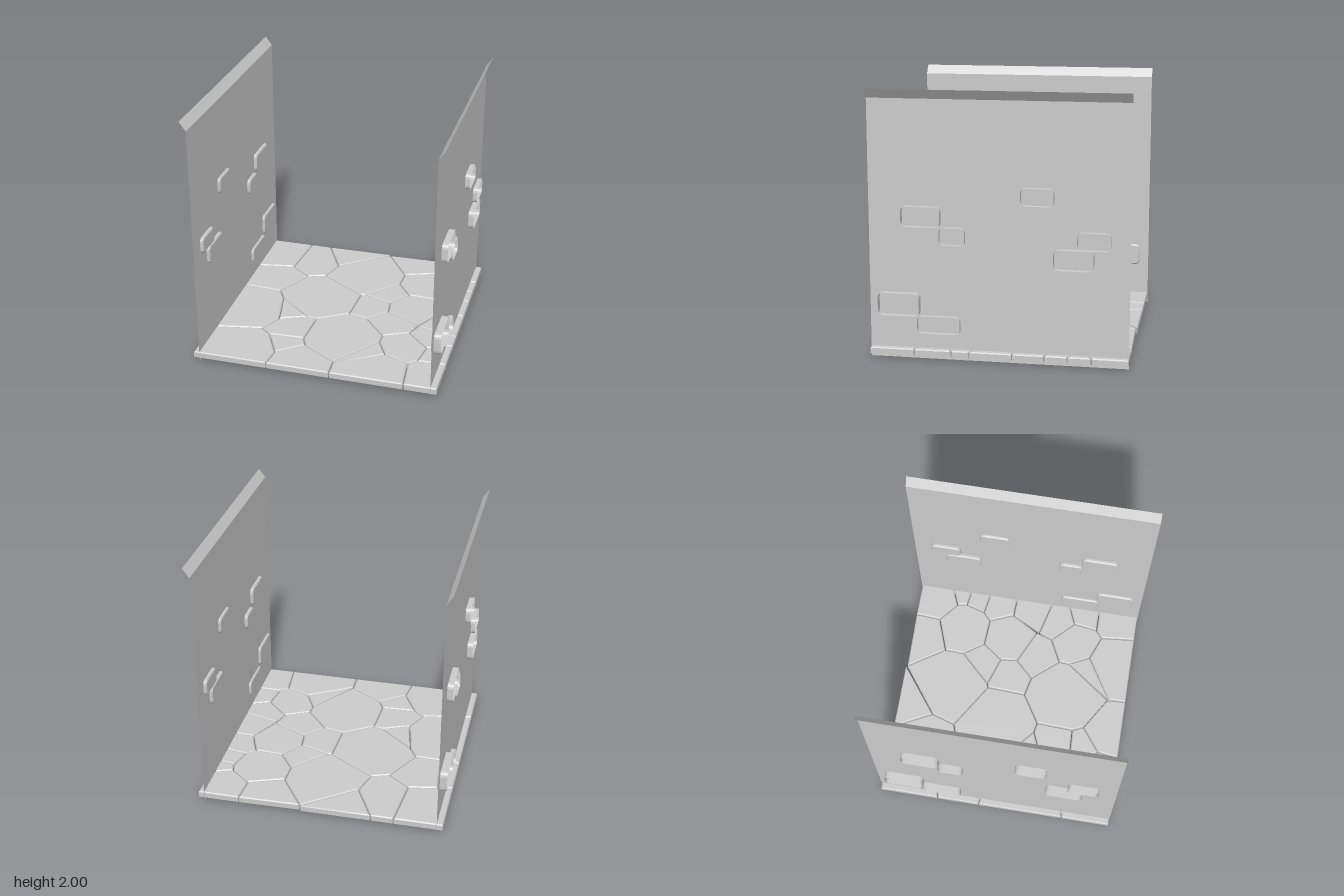
import * as THREE from 'three';

const material = new THREE.MeshStandardMaterial({ color: 0xcccccc, flatShading: true, side: THREE.DoubleSide });

const HALF = 0.96;          // half the depth and width of the passage
const WALL_X = 0.91;

// Shrink a counter-clockwise outline by a distance
function inset(outline, distance) {
  const n = outline.length;
  return outline.map((p, i) => {
    const a = p.clone().sub(outline[(i + n - 1) % n]).normalize();
    const b = outline[(i + 1) % n].clone().sub(p).normalize();
    const na = new THREE.Vector2(-a.y, a.x);
    const nb = new THREE.Vector2(-b.y, b.x);
    const k = distance / Math.max(0.4, 1 + na.dot(nb));
    return p.clone().addScaledVector(na.add(nb), k);
  });
}

// Block with a bevelled face towards +z and an open back
function openBlock(outline, depth, bevel) {
  const n = outline.length;
  const rings = [[outline, 0], [outline, depth - bevel], [inset(outline, bevel), depth]];
  const positions = [];
  const index = [];
  for (const [ring, z] of rings) for (const p of ring) positions.push(p.x, p.y, z);
  for (let r = 0; r < 2; r++) {
    for (let i = 0; i < n; i++) {
      const a = r * n + i;
      const b = r * n + (i + 1) % n;
      index.push(a, b, b + n, a, b + n, a + n);
    }
  }
  for (const [a, b, c] of THREE.ShapeUtils.triangulateShape(rings[2][0], [])) {
    index.push(2 * n + a, 2 * n + b, 2 * n + c);
  }
  const geometry = new THREE.BufferGeometry();
  geometry.setAttribute('position', new THREE.Float32BufferAttribute(positions, 3));
  geometry.setIndex(index);
  const flat = geometry.toNonIndexed();
  flat.computeVertexNormals();
  return flat;
}

function addMesh(parent, geometry, name) {
  const mesh = new THREE.Mesh(geometry, material);
  mesh.name = name;
  parent.add(mesh);
  return mesh;
}

// Paving stones: centre x, centre z, size weight
const stones = [
  [-0.79, -0.73, 0.05], [-0.45, -0.70, 0.037], [-0.72, -0.35, 0.03], [-0.18, -0.84, 0.033],
  [0.04, -0.55, 0.085], [0.46, -0.83, 0.027], [0.80, -0.81, 0.03], [0.89, -0.59, 0.006],
  [0.57, -0.53, 0.045], [0.87, -0.44, 0.009], [0.84, -0.24, 0.017], [0.28, -0.32, 0.022],
  [0.55, -0.12, 0.04], [0.83, 0.04, 0.024], [0.77, 0.28, 0.018], [0.20, -0.08, 0.018],
  [0.43, 0.14, 0.022], [-0.24, -0.10, 0.09], [0.09, 0.43, 0.08], [-0.45, 0.15, 0.025],
  [-0.75, 0.21, 0.085], [-0.34, 0.41, 0.024], [-0.33, 0.62, 0.009], [-0.64, 0.78, 0.062],
  [-0.16, 0.84, 0.02], [0.32, 0.60, 0.023], [0.59, 0.46, 0.03], [0.86, 0.50, 0.012],
  [0.86, 0.78, 0.022], [0.45, 0.82, 0.048],
];

// Cell of a stone: the floor square clipped against every neighbour
function stoneOutline(self) {
  const [cx, cz, cw] = self;
  let cell = [[-1, -1], [1, -1], [1, 1], [-1, 1]].map(([x, y]) => new THREE.Vector2(x * HALF, y * HALF));
  for (const other of stones) {
    if (other === self) continue;
    const [ox, oz, ow] = other;
    const side = (p) =>
      (p.x - cx) ** 2 + (p.y + cz) ** 2 - cw - ((p.x - ox) ** 2 + (p.y + oz) ** 2 - ow);
    const kept = [];
    cell.forEach((p, i) => {
      const q = cell[(i + 1) % cell.length];
      const sp = side(p);
      const sq = side(q);
      if (sp <= 0) kept.push(p);
      if (sp * sq < 0) kept.push(p.clone().lerp(q, sp / (sp - sq)));
    });
    cell = kept;
  }
  return cell.filter((p, i) => p.distanceTo(cell[(i + 1) % cell.length]) > 0.025);
}

function createFloor() {
  const floor = new THREE.Group();
  floor.name = 'stoneFloor';
  for (const stone of stones) {
    const outline = stoneOutline(stone);
    if (outline.length < 3) continue;
    const geometry = openBlock(inset(outline, 0.004), 0.05, 0.008);
    geometry.rotateX(-Math.PI / 2);
    addMesh(floor, geometry, 'pavingStone').position.y = 0.03;
  }
  return floor;
}

// Bricks of the left-hand side: z from, z to, y from, y to, back x, face x
const bricks = [
  [0.17, 0.41, 1.18, 1.31, 0.95, 0.89],
  [-0.71, -0.42, 1.00, 1.15, 0.955, 0.885],
  [-0.43, -0.24, 0.87, 1.00, 0.945, 0.885],
  [0.58, 0.82, 0.87, 1.00, 0.945, 0.885],
  [0.41, 0.70, 0.72, 0.87, 0.955, 0.885],
  [-0.89, -0.58, 0.33, 0.50, 0.965, 0.89],
  [-0.60, -0.28, 0.20, 0.33, 0.945, 0.893],
];

// Rectangle with rounded corners, counter-clockwise
function roundedOutline(width, height, radius) {
  const points = [];
  for (let corner = 0; corner < 4; corner++) {
    const sx = corner === 0 || corner === 3 ? 1 : -1;
    const sy = corner < 2 ? 1 : -1;
    for (let step = 0; step <= 3; step++) {
      const angle = (corner + step / 3) * Math.PI / 2;
      points.push(new THREE.Vector2(
        sx * (width / 2 - radius) + radius * Math.cos(angle),
        sy * (height / 2 - radius) + radius * Math.sin(angle)));
    }
  }
  return points;
}

// Wall sheet with its lip leaning outwards, plus the bricks set into it
function createWall(name) {
  const wall = new THREE.Group();
  wall.name = name;

  const sheet = new THREE.PlaneGeometry(2 * HALF, 2, 1, 2).rotateY(Math.PI / 2);
  const profile = [[-HALF, 2], [-WALL_X, 1.93], [-WALL_X, 0]];
  const position = sheet.attributes.position;
  for (let i = 0; i < position.count; i++) {
    const [x, y] = profile[Math.floor(i / 2)];
    position.setX(i, x);
    position.setY(i, y);
  }
  const flatSheet = sheet.toNonIndexed();
  flatSheet.computeVertexNormals();
  addMesh(wall, flatSheet, 'wallSheet');

  for (const [z0, z1, y0, y1, back, face] of bricks) {
    const geometry = openBlock(roundedOutline(z1 - z0, y1 - y0, 0.035), back - face, 0.01);
    geometry.rotateY(Math.PI / 2);
    addMesh(wall, geometry, 'brick').position.set(-back, (y0 + y1) / 2, (z0 + z1) / 2);
  }
  return wall;
}

export function createModel() {
  const model = new THREE.Group();
  model.name = 'stonePassage';
  model.add(createFloor());

  // The second wall is the first one turned half way round
  model.add(createWall('rightWall'));
  const leftWall = createWall('leftWall');
  leftWall.rotation.y = Math.PI;
  model.add(leftWall);
  return model;
}
